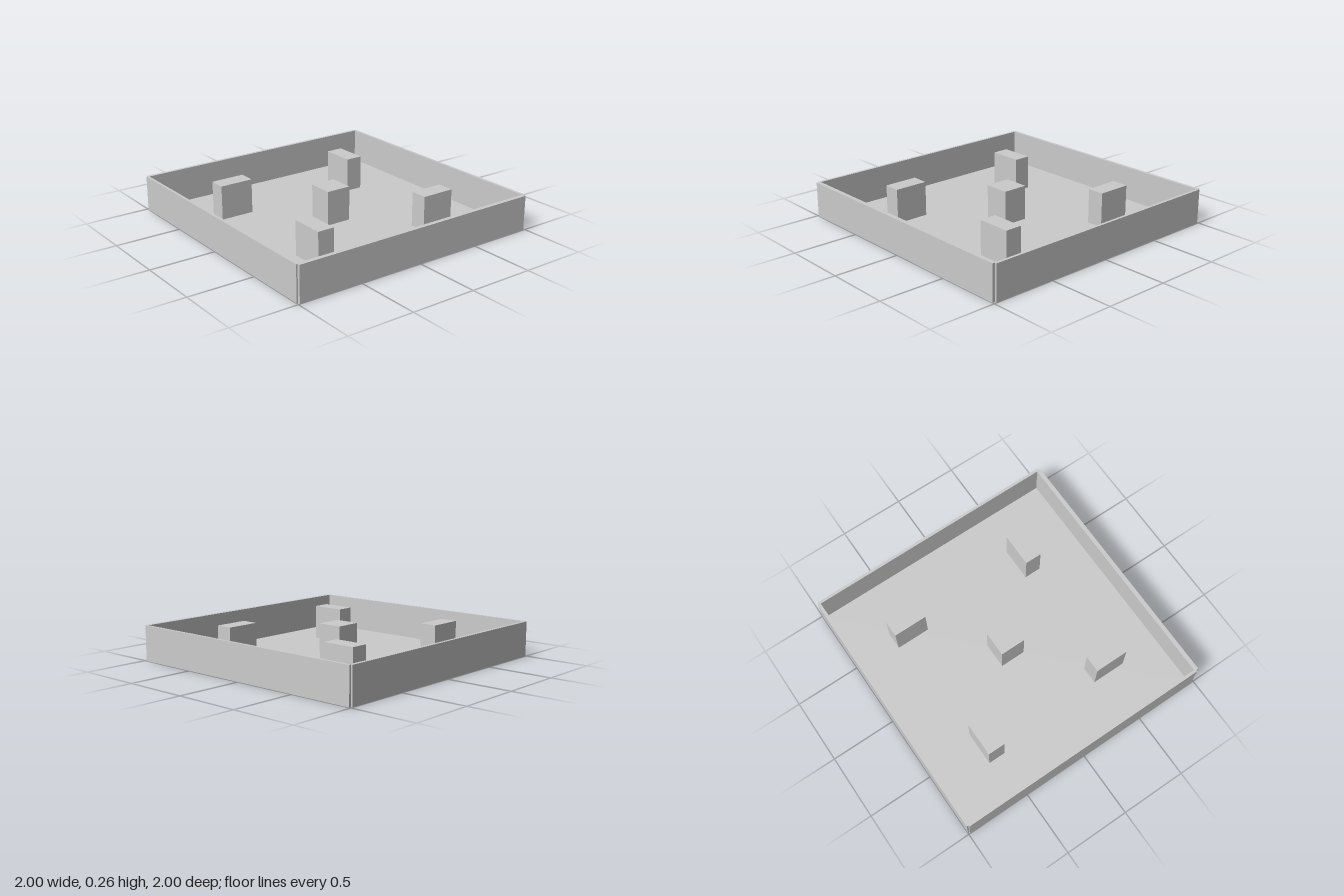
import * as THREE from 'three';

const HEIGHT = 0.265;

export function createModel() {
  const group = new THREE.Group();
  const material = new THREE.MeshStandardMaterial({ color: 0xcccccc, flatShading: true });

  // Upright box given by its extents on the ground plane
  const addBox = (name, x0, x1, z0, z1, height = HEIGHT) => {
    const mesh = new THREE.Mesh(new THREE.BoxGeometry(x1 - x0, height, z1 - z0), material);
    mesh.position.set((x0 + x1) / 2, height / 2, (z0 + z1) / 2);
    mesh.name = name;
    group.add(mesh);
  };

  // Thin floor
  addBox('floor', -0.989, 0.984, -0.987, 0.981, 0.004);

  // Walls, leaving a small notch at each outer corner
  addBox('backWall', -0.989, 0.984, -1, -0.976);
  addBox('frontWall', -0.989, 0.984, 0.968, 1);
  addBox('rightWall', -1, -0.979, -0.987, 0.981);
  addBox('leftWall', 0.979, 1, -0.987, 0.981);

  // Square centre block and four oblong blocks in a pinwheel around it
  const c = -0.004;
  const addBlock = (name, x, z, w, d) =>
    addBox(name, c + x - w / 2, c + x + w / 2, c + z - d / 2, c + z + d / 2);
  addBlock('centreBlock', 0, 0, 0.195, 0.195);
  for (const sx of [-1, 1]) {
    for (const sz of [-1, 1]) {
      const alongX = sx === sz;
      const name = (sz > 0 ? 'front' : 'back') + (sx > 0 ? 'Left' : 'Right') + 'Block';
      addBlock(name, sx * 0.525, sz * 0.525, alongX ? 0.26 : 0.13, alongX ? 0.13 : 0.26);
    }
  }
  return group;
}
